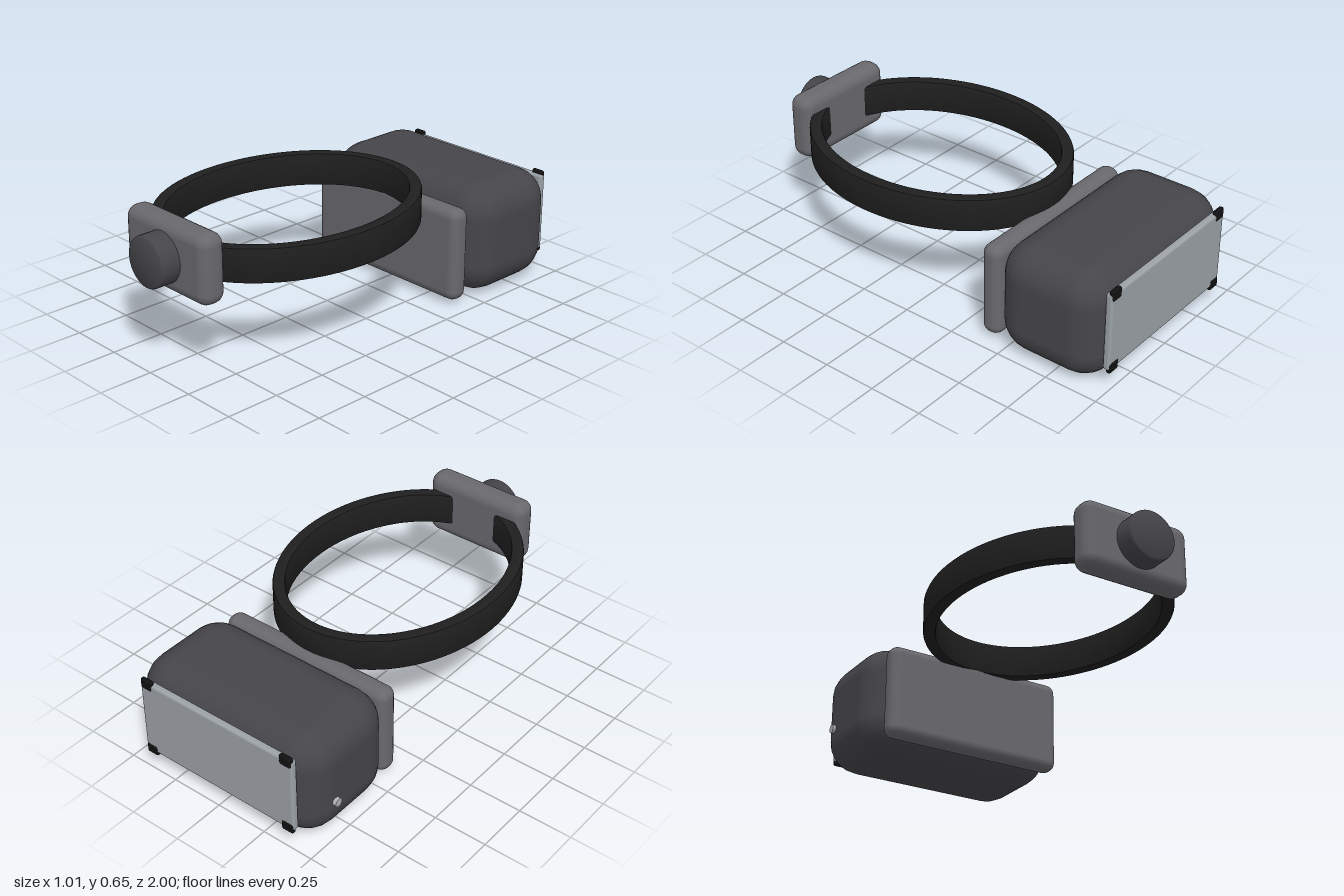
import * as THREE from 'three';
import { toCreasedNormals } from 'three/addons/utils/BufferGeometryUtils.js';
import { RoundedBoxGeometry } from 'three/addons/geometries/RoundedBoxGeometry.js';

const paint = (name, color) => {
  const m = new THREE.MeshStandardMaterial({ color });
  m.name = name;
  return m;
};

export function createModel() {
  const group = new THREE.Group();
  const shell = paint('dark grey shell', 0x46454a);
  const pad = paint('mid grey padding', 0x69686d);
  const strapBlack = paint('strap black', 0x1f1f1f);
  const panelGrey = paint('light grey panel', 0x9ba1a6);
  const black = paint('sensor black', 0x111111);
  const buttonGrey = paint('button grey', 0xb0b2b4);

  const add = (name, geometry, material, x, y, z) => {
    const mesh = new THREE.Mesh(geometry, material);
    mesh.name = name;
    mesh.position.set(x, y, z);
    group.add(mesh);
    return mesh;
  };
  const box = (name, w, h, d, r, material, x, y, z) =>
    add(name, new RoundedBoxGeometry(w, h, d, 3, r), material, x, y, z);

  // Visor: main shell, face cushion and back panel
  box('visorBody', 0.98, 0.52, 0.525, 0.15, shell, 0, 0.262, -0.713);
  box('faceCushion', 0.88, 0.438, 0.1, 0.045, pad, 0, 0.238, -0.405);
  box('visorPanel', 0.82, 0.37, 0.034, 0.012, panelGrey, 0, 0.279, -0.98);

  // Sensors on the four corners of the panel
  for (const sx of [-1, 1]) {
    for (const sy of [-1, 1]) {
      box('cornerSensor', 0.062, 0.052, 0.024, 0.011, black, sx * 0.376, 0.279 + sy * 0.175, -0.988);
    }
  }

  // Side button
  const button = add('sideButton', new THREE.CylinderGeometry(0.02, 0.02, 0.04, 16), buttonGrey, -0.485, 0.185, -0.825);
  button.rotation.z = Math.PI / 2;

  // Oval head strap with softened edges
  const bevel = 0.01;
  const oval = (Type, rx, rz) => new Type().absellipse(0, 0, rx, rz, 0, Math.PI * 2);
  const ring = oval(THREE.Shape, 0.502 - bevel, 0.635 - bevel);
  ring.holes.push(oval(THREE.Path, 0.445 + bevel, 0.58 + bevel));
  const strap = new THREE.ExtrudeGeometry(ring, {
    depth: 0.155 - 2 * bevel, curveSegments: 48,
    bevelSize: bevel, bevelThickness: bevel, bevelSegments: 2,
  });
  strap.rotateX(-Math.PI / 2);
  add('headStrap', toCreasedNormals(strap, 0.6), strapBlack, 0, 0.42 + bevel, 0.225);

  // Adjuster housing and its dial
  box('adjusterHousing', 0.52, 0.31, 0.125, 0.052, pad, 0, 0.496, 0.8475);
  const profile = [[0, 0], [0.113, 0], [0.113, 0.09], [0.111, 0.096], [0.105, 0.1], [0, 0.1]]
    .map(([r, h]) => new THREE.Vector2(r, h));
  const dial = add('adjusterDial', toCreasedNormals(new THREE.LatheGeometry(profile, 40), 0.8), shell, 0, 0.497, 0.9);
  dial.rotation.x = Math.PI / 2;

  return group;
}
